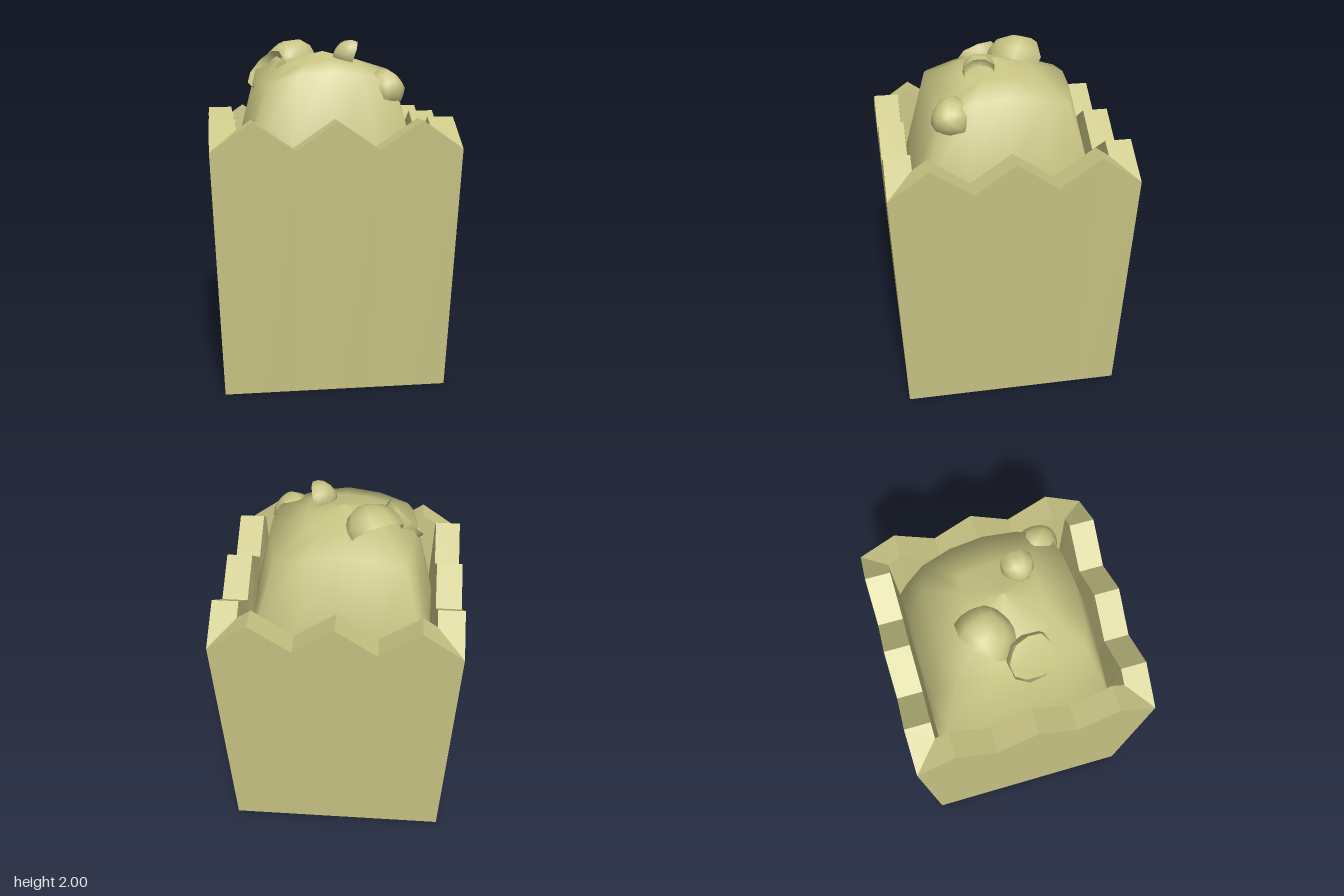
import * as THREE from 'three';
import { mergeVertices } from 'three/addons/utils/BufferGeometryUtils.js';

const material = new THREE.MeshStandardMaterial({ color: 0xc8c484, side: THREE.DoubleSide });
const flatMaterial = material.clone();
flatMaterial.flatShading = true;

// Joins a list of equally long point rows into a surface
function loft(rows, closed) {
  const n = rows[0].length, index = [];
  for (let r = 0; r < rows.length - 1; r++) {
    for (let i = 0; i < (closed ? n : n - 1); i++) {
      const j = (i + 1) % n, a = r * n + i, b = r * n + j;
      index.push(a, b, b + n, a, b + n, a + n);
    }
  }
  const geometry = new THREE.BufferGeometry();
  geometry.setAttribute('position', new THREE.Float32BufferAttribute(rows.flat(2), 3));
  geometry.setIndex(index);
  geometry.computeVertexNormals();
  return geometry;
}

// One tapered wall with a thick zigzag rim, mitred at the corners
function wallGeometry() {
  const ts = [-0.7, -0.47, -0.235, 0, 0.235, 0.47, 0.7];
  const rimY = (i) => (i % 2 ? 1.56 : 1.4);
  const clamp = (t, m) => Math.max(-m, Math.min(m, t));
  const rows = [
    ts.map((t) => [t * 0.64 / 0.7, 0, 0.64]),
    ts.map((t, i) => [t, rimY(i), 0.7]),
    ts.map((t, i) => [clamp(t, 0.55), Math.abs(t) > 0.6 ? 1.505 : rimY(i), 0.55]),
    ts.map((t) => [clamp(t, 0.53), 1.1, 0.53]),
  ];
  return loft(rows, false).toNonIndexed();
}

// Rounded-square ring of 16 points: half-widths at side middle, quarter and corner
function ring(mid, quarter, corner, yMid, yCorner) {
  const points = [];
  const yQuarter = (yMid * 2 + yCorner) / 3;
  for (let k = 0; k < 4; k++) {
    const a = k * Math.PI / 2, c = Math.cos(a), s = Math.sin(a);
    const side = [
      [-corner, yCorner, corner],
      [-corner * 0.53, yQuarter, quarter],
      [0, yMid, mid],
      [corner * 0.53, yQuarter, quarter],
    ];
    for (const [x, y, z] of side) points.push([x * c + z * s, y, z * c - x * s]);
  }
  return points;
}

// Heaped filling
function heapGeometry() {
  return mergeVertices(loft([
    ring(0.53, 0.53, 0.53, 1.1, 1.1),
    ring(0.525, 0.505, 0.475, 1.38, 1.34),
    ring(0.41, 0.4, 0.365, 1.82, 1.75),
    ring(0.21, 0.205, 0.19, 1.88, 1.86),
    ring(0, 0, 0, 1.93, 1.93),
  ], true));
}

// Lumpy hollow cup whose opening faces the given direction
function kernel(center, radius, opening, coverage, seed) {
  let geometry = new THREE.SphereGeometry(radius, 9, 5, 0, Math.PI * 2, 0, Math.PI * coverage);
  geometry.deleteAttribute('uv');
  geometry.deleteAttribute('normal');
  geometry = mergeVertices(geometry, 1e-4);
  const p = geometry.attributes.position, v = new THREE.Vector3();
  for (let i = 0; i < p.count; i++) {
    v.fromBufferAttribute(p, i);
    const k = 1 + 0.06 * Math.sin(v.x / radius * 4 + seed) * Math.cos(v.z / radius * 3 + seed * 2);
    p.setXYZ(i, v.x * k, v.y * k, v.z * k);
  }
  geometry.computeVertexNormals();
  const mesh = new THREE.Mesh(geometry, material);
  const dir = new THREE.Vector3(...opening).normalize();
  mesh.quaternion.setFromUnitVectors(new THREE.Vector3(0, -1, 0), dir);
  mesh.position.set(...center);
  mesh.name = 'kernel';
  return mesh;
}

export function createModel() {
  const model = new THREE.Group();
  model.name = 'popcornBucket';

  // Four walls, open at the bottom
  const bucket = new THREE.Group();
  bucket.name = 'bucket';
  const wall = wallGeometry();
  for (let i = 0; i < 4; i++) {
    const mesh = new THREE.Mesh(wall, flatMaterial);
    mesh.name = 'wall';
    mesh.rotation.y = i * Math.PI / 2;
    bucket.add(mesh);
  }
  model.add(bucket);

  const heap = new THREE.Mesh(heapGeometry(), material);
  heap.name = 'heap';
  model.add(heap);

  // Loose popped kernels
  const kernels = new THREE.Group();
  kernels.name = 'kernels';
  kernels.add(
    kernel([-0.18, 1.83, -0.16], 0.175, [-0.4, -0.65, -0.65], 0.52, 1),
    kernel([-0.36, 1.83, 0.06], 0.14, [-0.65, 0.6, 0.3], 0.5, 2),
    kernel([0.15, 1.905, 0.12], 0.095, [0.95, -0.3, 0], 0.56, 3),
    kernel([0.33, 1.7, 0.3], 0.12, [-0.6, -0.5, -0.6], 0.6, 4),
  );
  model.add(kernels);
  return model;
}
